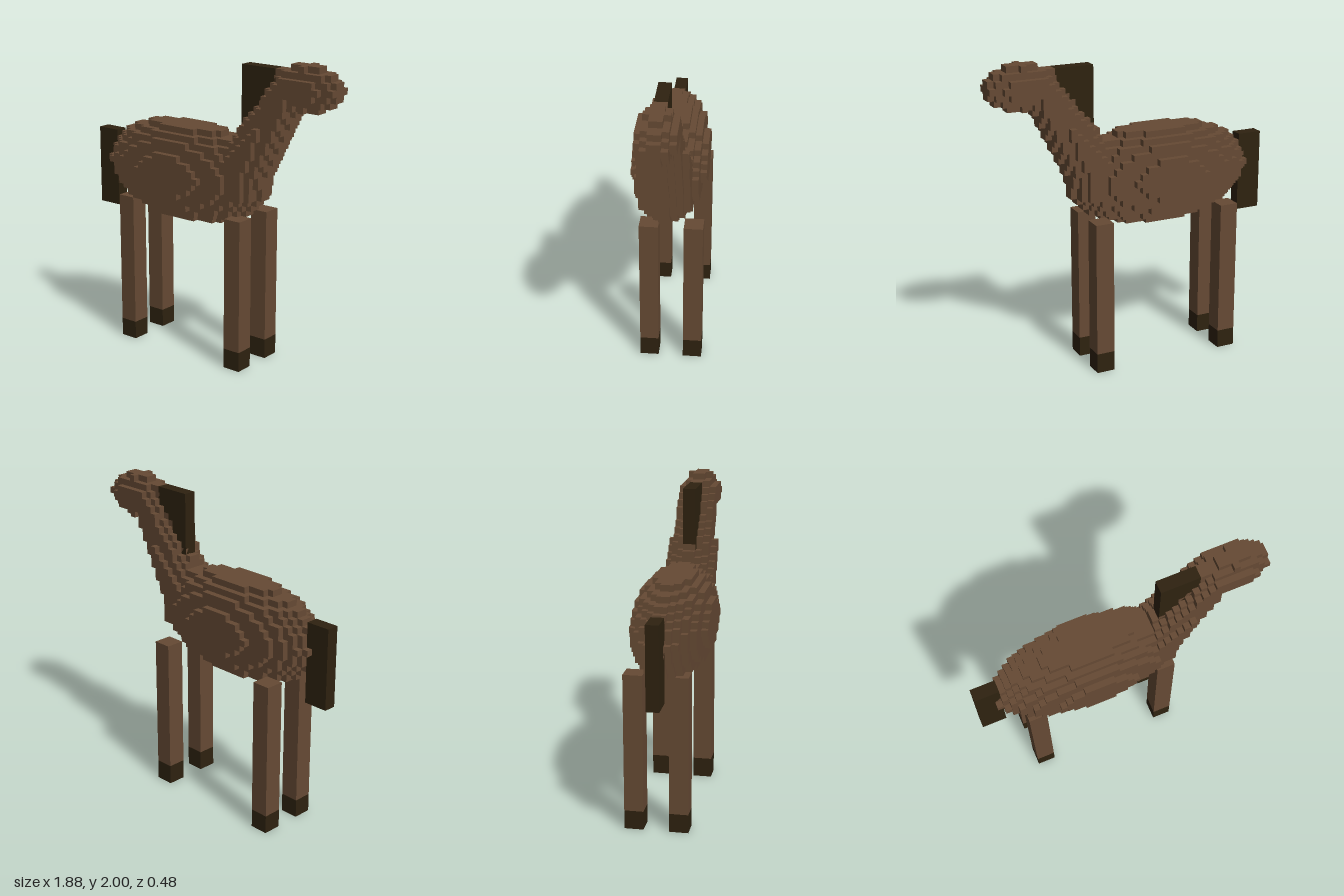
import * as THREE from 'three';
import { mergeGeometries } from 'three/addons/utils/BufferGeometryUtils.js';

const S = 0.04; // edge of one block

// Solid test for an ellipsoid
const ellipsoid = (cx, cy, rx, ry, rz) => (x, y, z) =>
  ((x - cx) / rx) ** 2 + ((y - cy) / ry) ** 2 + (z / rz) ** 2 <= 1;

// Leaning neck: an ellipse at each height, narrowing upwards
function neckSolid(x, y, z) {
  if (y < 1.12 || y > 1.92) return false;
  const right = Math.max(0.41, 0.46 + 0.5 * (y - 1.32));
  const left = Math.max(0.06, 0.22 + 0.8 * (y - 1.52));
  const mid = (left + right) / 2;
  const rz = 0.17 - 0.075 * (y - 1.2);
  return ((x - mid) / ((right - left) / 2)) ** 2 + (z / rz) ** 2 <= 1;
}

const solids = {
  body: ellipsoid(-0.2, 1.22, 15.5 * S, 8 * S, 6 * S),
  neck: neckSolid,
  head: ellipsoid(0.72, 1.86, 6 * S, 3.5 * S, 3 * S),
};
const tests = Object.values(solids);
const owner = (x, y, z) => tests.find((t) => t(x, y, z));

// One square for each of the six directions of a block
const sides = [
  [1, 0, 0], [-1, 0, 0], [0, 1, 0], [0, -1, 0], [0, 0, 1], [0, 0, -1],
].map(([x, y, z]) => {
  const face = new THREE.PlaneGeometry(S, S);
  if (y) face.rotateX(-y * Math.PI / 2);
  else face.rotateY(x ? x * Math.PI / 2 : z < 0 ? Math.PI : 0);
  face.translate(x * S / 2, y * S / 2, z * S / 2);
  return { face, x: x * S, y: y * S, z: z * S };
});

// Collects the outer block faces that belong to one solid
function blockGeometry(solid) {
  const faces = [];
  for (let i = -24; i <= 24; i++)
    for (let j = 22; j < 50; j++)
      for (let k = -7; k < 7; k++) {
        const x = i * S, y = (j + 0.5) * S, z = (k + 0.5) * S;
        if (owner(x, y, z) !== solid) continue;
        for (const s of sides)
          if (!owner(x + s.x, y + s.y, z + s.z))
            faces.push(s.face.clone().translate(x, y, z));
      }
  return mergeGeometries(faces);
}

export function createModel() {
  const group = new THREE.Group();
  const coat = new THREE.MeshStandardMaterial({ color: 0x664a34 });
  coat.name = 'brown coat';
  const dark = new THREE.MeshStandardMaterial({ color: 0x2e2210 });
  dark.name = 'dark hair and hoof';

  const add = (name, geometry, material) => {
    const mesh = new THREE.Mesh(geometry, material);
    mesh.name = name;
    group.add(mesh);
  };
  // Box given by its lowest and highest corners
  const box = (name, material, x0, x1, y0, y1, z0, z1) =>
    add(name, new THREE.BoxGeometry(x1 - x0, y1 - y0, z1 - z0)
      .translate((x0 + x1) / 2, (y0 + y1) / 2, (z0 + z1) / 2), material);

  // Blocky body, neck and head
  for (const [name, solid] of Object.entries(solids)) add(name, blockGeometry(solid), coat);

  // Mane, its crown and the tail
  box('mane', dark, 0.26, 0.51, 1.56, 1.96, -0.04, 0.04);
  box('crown', coat, 0.51, 0.58, 1.8, 1.96, -0.04, 0.04);
  box('tail', dark, -0.94, -0.78, 0.88, 1.4, -0.04, 0.04);

  // Legs with hooves
  for (const [end, x, hoof] of [['back', -0.66, 0.12], ['front', 0.22, 0.13]])
    for (const [n, z] of [['A', 0.04], ['B', -0.24]]) {
      box(`${end}Leg${n}`, coat, x, x + 0.12, hoof, 1, z, z + 0.12);
      box(`${end}Hoof${n}`, dark, x, x + 0.12, 0, hoof, z, z + 0.12);
    }
  return group;
}
